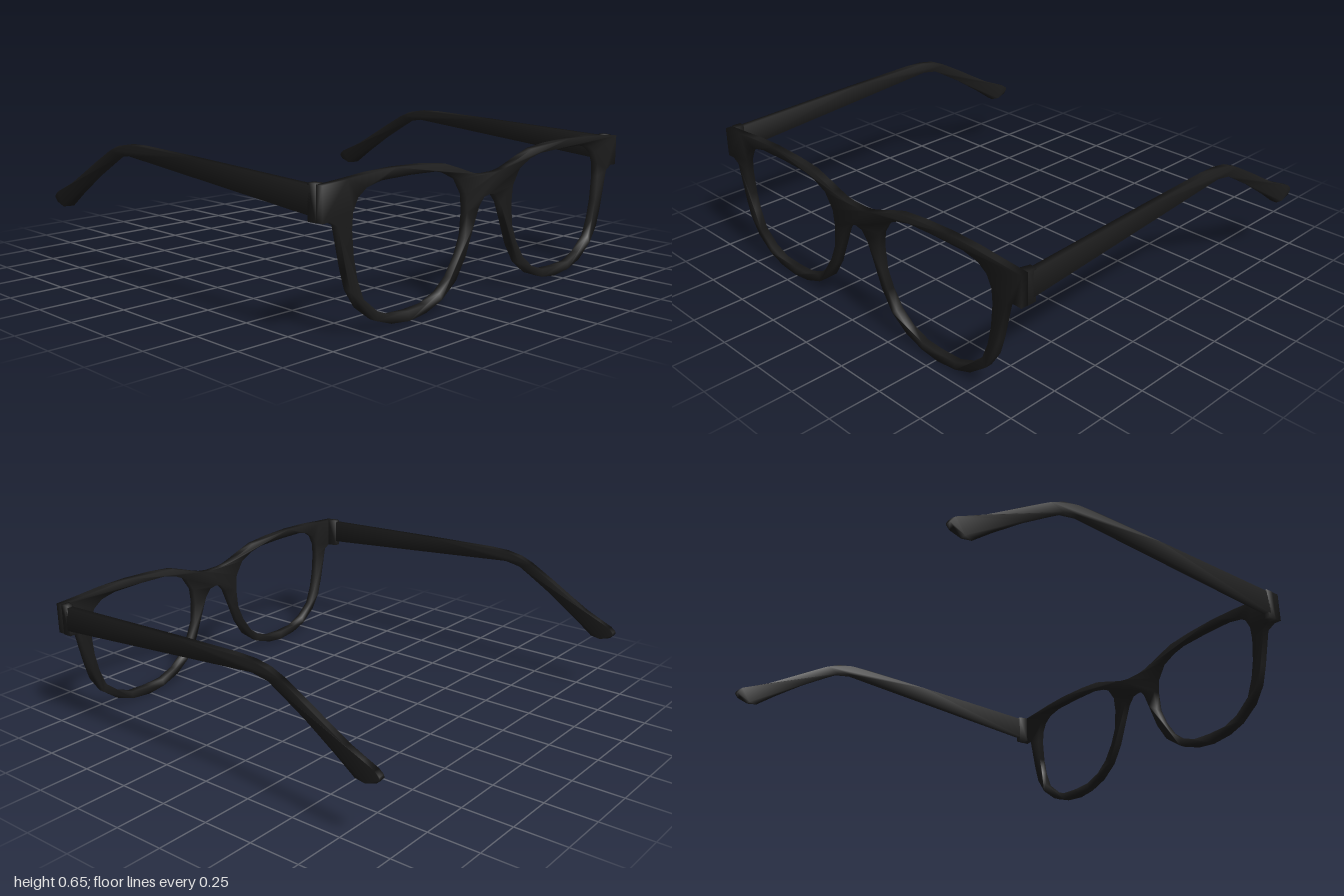
import * as THREE from 'three';
import { mergeVertices } from 'three/addons/utils/BufferGeometryUtils.js';

const vecs = (pts) => pts.map(([x, y]) => new THREE.Vector2(x, y));
const mirror = (pts) => pts.map(([x, y]) => [-x, y]).reverse();

// Extrude an outline and share its corners, so shading rolls softly over the edges
function plate(pts, depth, holes = []) {
  const shape = new THREE.Shape(vecs(pts));
  holes.forEach((h) => shape.holes.push(new THREE.Path(vecs(h))));
  const geo = new THREE.ExtrudeGeometry(shape, { depth, bevelEnabled: false });
  geo.deleteAttribute('normal');
  geo.deleteAttribute('uv');
  const merged = mergeVertices(geo, 1e-4);
  merged.computeVertexNormals();
  return merged;
}

export function createModel() {
  const group = new THREE.Group();
  const black = new THREE.MeshStandardMaterial({ color: 0x1c1c1c });
  black.name = 'black plastic';

  const add = (name, geo) => {
    const mesh = new THREE.Mesh(geo, black);
    mesh.name = name;
    group.add(mesh);
  };

  // Half of the front's outer outline, from bridge top round to bridge underside
  const half = [
    [0.04, 0.548], [0.09, 0.555], [0.14, 0.57], [0.21, 0.594], [0.30, 0.622], [0.43, 0.635],
    [0.60, 0.641], [0.75, 0.637], [0.87, 0.627], [1.0, 0.618], [1.0, 0.475], [0.96, 0.477],
    [0.92, 0.455], [0.88, 0.28], [0.853, 0.19], [0.80, 0.11], [0.71, 0.043], [0.62, 0.012],
    [0.51, 0.0], [0.41, 0.012], [0.31, 0.047], [0.22, 0.113], [0.16, 0.205], [0.107, 0.335],
    [0.075, 0.41], [0.04, 0.45],
  ];
  const outline = [...half, [0, 0.457], ...mirror(half)];

  // Lens opening, wound against the outline
  const lens = [
    [0.685, 0.60], [0.52, 0.602], [0.36, 0.597], [0.285, 0.58], [0.21, 0.545], [0.163, 0.475],
    [0.155, 0.40], [0.165, 0.295], [0.20, 0.215], [0.255, 0.135], [0.325, 0.08], [0.415, 0.048],
    [0.515, 0.043], [0.62, 0.048], [0.70, 0.08], [0.78, 0.145], [0.815, 0.23], [0.835, 0.32],
    [0.845, 0.43], [0.84, 0.497], [0.813, 0.55], [0.765, 0.583],
  ];
  const front = plate(outline, 0.035, [lens, mirror(lens)]);
  front.translate(0, 0, 0.91);
  add('frontFrame', front);

  // Side profile of a temple as [z, y], with the drooping ear tip
  const temple = [
    [0.88, 0.612], [0.18, 0.637], [-0.20, 0.648], [-0.30, 0.645], [-0.38, 0.631], [-0.45, 0.602],
    [-0.58, 0.53], [-0.68, 0.471], [-0.78, 0.414], [-0.86, 0.378], [-0.92, 0.352],
    [-0.943, 0.333], [-0.945, 0.32], [-0.93, 0.302], [-0.875, 0.284], [-0.825, 0.292],
    [-0.73, 0.362], [-0.58, 0.464], [-0.45, 0.541], [-0.385, 0.578], [-0.30, 0.593], [0.88, 0.496],
  ];

  // Plan of the hinge block as [x, -z], tapering towards the temple
  const hinge = [[0.955, -0.91], [1.0, -0.91], [1.0, -0.865], [0.968, -0.865]];

  for (const [side, s] of [['left', 1], ['right', -1]]) {
    const arm = plate(mirror(temple), 0.03);
    arm.rotateY(Math.PI / 2).translate(s * 0.985 - 0.015, 0, 0);
    add(side + 'Temple', arm);

    const block = plate(s > 0 ? hinge : mirror(hinge), 0.148);
    block.rotateX(-Math.PI / 2).translate(0, 0.473, 0);
    add(side + 'Hinge', block);
  }
  return group;
}
